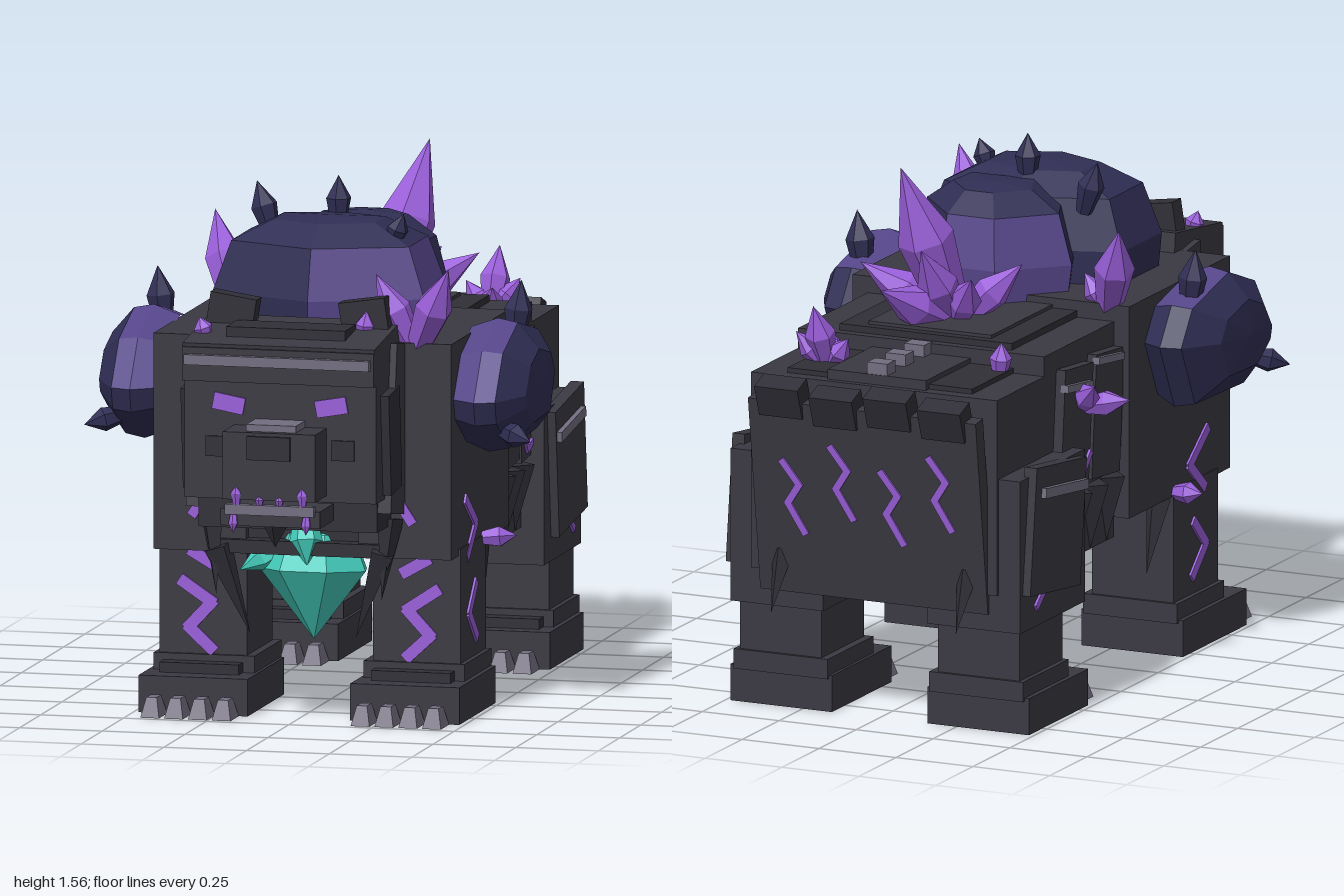
import * as THREE from 'three';

const mat = (name, color) => Object.assign(new THREE.MeshStandardMaterial({ color }), { name });

export function createModel() {
  const root = new THREE.Group();
  root.name = 'crystalBeast';
  const stone = mat('darkStone', 0x3a3942), shade = mat('deepStone', 0x302f37), grey = mat('greyStone', 0x736e80);
  const purple = mat('purpleCrystal', 0x9a5fda), navy = mat('navyRock', 0x302e54), violet = mat('violetRock', 0x56468a);
  const teal = mat('tealCrystal', 0x45d0bf);
  const sides = [1, -1], Q = Math.PI / 2;

  const add = (name, geo, m, pos = [0, 0, 0], rot = [0, 0, 0], parent = root) => {
    const mesh = new THREE.Mesh(geo, m);
    mesh.name = name;
    mesh.position.set(...pos);
    mesh.rotation.set(...rot);
    parent.add(mesh);
    return mesh;
  };
  const box = (name, m, size, pos, rot, parent) => add(name, new THREE.BoxGeometry(...size), m, pos, rot, parent);
  // Box given by its min and max corners
  const span = (name, m, a, b) => box(name, m, a.map((v, i) => b[i] - v), a.map((v, i) => (v + b[i]) / 2));
  // Same box on both sides
  const pair = (name, m, size, [x, y, z], [rx, ry, rz] = [0, 0, 0]) =>
    sides.forEach(s => box(name, m, size, [s * x, y, z], [rx, s * ry, s * rz]));
  const spanPair = (name, m, a, b) => pair(name, m, a.map((v, i) => b[i] - v), a.map((v, i) => (v + b[i]) / 2));

  // Faceted lathe shape running from base to tip
  const facet = (name, m, base, tip, profile, count) => {
    const d = new THREE.Vector3(...tip).sub(new THREE.Vector3(...base)), len = d.length();
    const geo = new THREE.LatheGeometry(profile.map(([r, t]) => new THREE.Vector2(r, t * len)), count).toNonIndexed();
    geo.computeVertexNormals();
    add(name, geo, m, base).quaternion.setFromUnitVectors(new THREE.Vector3(0, 1, 0), d.normalize());
  };
  const crystal = (name, m, base, tip, r) => facet(name, m, base, tip, [[0, 0], [r * 0.6, 0.02], [r, 0.55], [0, 1]], 6);
  const spike = (name, m, base, tip, r) => facet(name, m, base, tip, [[0, 0], [r, 0.001], [0, 1]], 4);
  // Crystals fanning out of one root, longer ones thicker
  const cluster = (name, m, base, ...tips) => tips.forEach(tip =>
    crystal(name, m, base, tip, 0.02 + 0.12 * Math.hypot(...tip.map((v, i) => v - base[i]))));

  // Faceted rock: stacked [height, scale] copies of an outline, faces coloured by isViolet(level, side)
  const rock = (name, outline, levels, place, flip, isViolet) => {
    const n = outline.length, pos = [], geo = new THREE.BufferGeometry();
    const [cu, cv] = [0, 1].map(k => outline.reduce((sum, p) => sum + p[k], 0) / n);
    const at = (l, i) => {
      const [h, k] = levels[l], [u, v] = outline[i % n];
      return place(cu + (u - cu) * k, h, cv + (v - cv) * k);
    };
    const tri = (a, b, c, group) => {
      geo.addGroup(pos.length / 3, 3, group);
      pos.push(...a, ...(flip ? c : b), ...(flip ? b : c));
    };
    const top = levels.length - 1, peak = place(cu, levels[top][0] + 0.01, cv);
    for (let i = 0; i < n; i++) {
      for (let l = 0; l < top; l++) {
        const group = isViolet(l, i) ? 1 : 0;
        tri(at(l, i), at(l + 1, i), at(l, i + 1), group);
        tri(at(l + 1, i), at(l + 1, i + 1), at(l, i + 1), group);
      }
      tri(peak, at(top, i + 1), at(top, i), 0);
    }
    geo.setAttribute('position', new THREE.Float32BufferAttribute(pos, 3));
    geo.computeVertexNormals();
    add(name, geo, [navy, violet]);
  };

  // Thin zigzag rune drawn in the local xy plane of a turned group
  const rune = (pts, pos, rot, w) => {
    const g = new THREE.Group();
    g.name = 'rune';
    g.position.set(...pos);
    g.rotation.set(...rot);
    root.add(g);
    for (let i = 1; i < pts.length; i++) {
      const [x0, y0] = pts[i - 1], [x1, y1] = pts[i];
      box('runeStroke', purple, [Math.hypot(x1 - x0, y1 - y0) + w * 0.6, w, 0.008],
        [(x0 + x1) / 2, (y0 + y1) / 2, 0], [0, 0, Math.atan2(y1 - y0, x1 - x0)], g);
    }
  };
  // Runes on both sides: points are (z, y) on flanks, (x, y) on the front
  const sideRune = (pts, [x, y, z], w) => sides.forEach(s => rune(pts.map(p => [-s * p[0], p[1]]), [s * x, y, z], [0, s * Q, 0], w));
  const frontRune = (pts, [x, y, z], w) => sides.forEach(s => rune(pts.map(p => [s * p[0], p[1]]), [s * x, y, z], [0, 0, 0], w));

  // Torso
  span('chest', stone, [-0.45, 0.48, -0.09], [0.45, 1.12, 0.53]);
  spanPair('shoulder', stone, [0.17, 0.48, 0.5], [0.45, 1.12, 0.59]);
  span('chestPlate', shade, [-0.17, 0.5, 0.53], [0.17, 0.72, 0.56]);
  span('waist', stone, [-0.4, 0.42, -0.56], [0.4, 1.07, -0.09]);
  span('rump', stone, [-0.4, 0.42, -0.88], [0.4, 1.01, -0.54]);
  span('backPanel', shade, [-0.28, 1.05, -0.53], [0.28, 1.09, -0.09]);
  span('backRidge', stone, [-0.2, 1.06, -0.5], [0.2, 1.1, -0.09]);
  span('rumpPanel', shade, [-0.3, 1, -0.84], [0.3, 1.025, -0.55]);
  span('rumpRidge', stone, [-0.16, 1, -0.86], [0.16, 1.04, -0.55]);
  for (let i = 0; i < 3; i++) box('spineStud', grey, [0.065, 0.05, 0.055], [0, 1.05, -0.83 + i * 0.125]);

  // Tilted rear plate with rim blocks and runes
  box('rearPlate', stone, [0.74, 0.6, 0.05], [0, 0.66, -0.895], [-0.14, 0, 0]);
  for (let i = 0; i < 4; i++) {
    const x = -0.24 + i * 0.16, low = i % 2;
    box('rearRimBlock', shade, [0.14, 0.1, 0.07], [x * 1.1, 0.95 + low * 0.015, -0.945], [-0.35, 0, 0]);
    rune([[-0.03, 0.13], [0.02, 0.06], [-0.02, 0], [0.03, -0.09]], [x, 0.7 - low * 0.06, -0.927 + low * 0.008], [-0.14, Math.PI, 0, 'YXZ'].map((v, k) => (k === 0 ? 0.14 : v)), 0.022);
  }

  // Flank plates
  [-0.19, -0.4].forEach(z => {
    pair('ribPlate', stone, [0.04, 0.37, 0.19], [0.41, 0.82, z], [0.09, 0, 0]);
    pair('ribTrim', grey, [0.025, 0.022, 0.17], [0.43, 1.02 + z * 0.18, z], [0.12, 0, 0]);
  });
  sideRune([[0.06, 0.04], [0.04, 0.02], [0, -0.03], [-0.06, -0.01]], [0.434, 0.69, -0.38], 0.02);

  // Legs, feet and claws
  [['front', 0.2, 0.5, 0.63], ['rear', -0.84, -0.55, -0.44]].forEach(([n, back, front, toe]) => {
    spanPair(n + 'Leg', stone, [0.19, 0.1, back], [0.455, 0.5, front]);
    spanPair(n + 'Ankle', stone, [0.165, 0.1, back - 0.01], [0.47, 0.16, front + 0.01]);
    spanPair(n + 'Instep', shade, [0.2, 0.1, front], [0.44, 0.14, front + 0.06]);
    spanPair(n + 'Foot', stone, [0.155, 0, back], [0.485, 0.11, toe]);
    for (let i = 0; i < 4; i++) sides.forEach(s => {
      const claw = new THREE.CylinderGeometry(0.022, 0.04, 0.058, 4).toNonIndexed().rotateY(Q / 2).scale(1, 1, 1.75);
      claw.computeVertexNormals();
      add('claw', claw, grey, [s * (0.21 + i * 0.072), 0.029, toe + 0.05]);
    });
  });
  spanPair('thigh', stone, [0.17, 0.31, -0.87], [0.47, 0.77, -0.43]);
  pair('thighPlate', stone, [0.04, 0.38, 0.34], [0.475, 0.59, -0.66], [0.12, 0, 0]);
  pair('thighTrim', grey, [0.03, 0.03, 0.29], [0.495, 0.7, -0.63], [0.12, 0, 0]);
  frontRune([[0.06, 0.1], [-0.03, 0.04], [0.04, -0.035], [-0.03, -0.1]], [0.325, 0.275, 0.503], 0.036);
  frontRune([[-0.035, -0.02], [0.035, 0.02]], [0.32, 0.445, 0.504], 0.036);
  frontRune([[-0.02, 0.03], [0.02, -0.03]], [0.31, 0.62, 0.593], 0.03);
  sideRune([[0.06, 0.085], [-0.06, 0], [0.04, -0.085]], [0.453, 0.55, 0.37], 0.032);
  sideRune([[-0.03, 0.08], [0.05, 0], [-0.04, -0.08]], [0.458, 0.295, 0.36], 0.032);
  sideRune([[-0.025, 0.04], [0.03, 0.01], [-0.035, -0.04]], [0.474, 0.41, -0.73], 0.022);

  // Spikes on belly, elbows, collar and tail
  sides.forEach(s => {
    for (let i = 0; i < 3; i++) spike('bellySpike', shade, [s * 0.4, 0.62, -0.14 - i * 0.11], [s * 0.4, 0.42, -0.14 - i * 0.11], 0.06);
    spike('elbowSpike', shade, [s * 0.42, 0.48, 0.17], [s * 0.42, 0.27, 0.09], 0.04);
    spike('collarTusk', shade, [s * 0.25, 0.5, 0.61], [s * 0.16, 0.24, 0.58], 0.045);
    spike('collarTusk', shade, [s * 0.27, 0.6, 0.6], [s * 0.25, 0.36, 0.63], 0.04);
    spike('tailSpike', shade, [s * 0.3, 0.48, -0.87], [s * 0.3, 0.31, -0.95], 0.035);
    cluster('elbowCrystal', purple, [s * 0.44, 0.49, 0.22], [s * 0.55, 0.5, 0.2]);
  });
  span('collarBar', shade, [-0.25, 0.48, 0.54], [0.25, 0.52, 0.61]);

  // Hanging chest gem
  facet('chestGem', teal, [0.01, 0.57, 0.46], [0.01, 0.215, 0.49], [[0, 0], [0.12, 0.12], [0.165, 0.42], [0, 1]], 7);
  crystal('gemShard', teal, [0, 0.6, 0.56], [0.02, 0.45, 0.61], 0.05);
  crystal('gemShard', teal, [-0.06, 0.5, 0.5], [-0.2, 0.42, 0.55], 0.04);

  // Head
  box('neck', stone, [0.62, 0.5, 0.2], [0, 0.87, 0.62], [-0.15, 0, 0]);
  span('head', stone, [-0.29, 0.68, 0.6], [0.29, 1.1, 0.85]);
  span('throat', shade, [-0.27, 0.58, 0.6], [0.27, 0.7, 0.76]);
  box('skullCap', stone, [0.58, 0.06, 0.32], [0, 1.13, 0.71], [0.12, 0, 0]);
  span('crown', shade, [-0.18, 1.13, 0.66], [0.18, 1.18, 0.79]);
  span('brow', stone, [-0.29, 1.03, 0.84], [0.29, 1.13, 0.88]);
  span('browTrim', grey, [-0.28, 1.08, 0.87], [0.28, 1.11, 0.9]);
  pair('ear', shade, [0.14, 0.1, 0.06], [0.2, 1.2, 0.62], [0, 0, 0.15]);
  pair('cheekPlate', shade, [0.03, 0.3, 0.13], [0.3, 0.85, 0.72], [0.1, 0, 0]);
  pair('eye', purple, [0.095, 0.05, 0.008], [0.155, 0.963, 0.853], [0, 0, 0.18]);
  pair('cheekSquare', shade, [0.07, 0.06, 0.008], [0.19, 0.835, 0.853]);
  span('snout', stone, [-0.14, 0.7, 0.84], [0.14, 0.9, 0.985]);
  span('noseBridge', grey, [-0.075, 0.89, 0.84], [0.075, 0.92, 0.96]);
  span('nosePlate', shade, [-0.065, 0.82, 0.98], [0.065, 0.89, 0.995]);
  span('jaw', stone, [-0.15, 0.62, 0.8], [0.15, 0.67, 0.97]);
  span('jawTrim', grey, [-0.135, 0.655, 0.96], [0.135, 0.685, 0.985]);
  spike('chinSpike', shade, [0, 0.63, 0.91], [0, 0.55, 0.91], 0.045);
  sides.forEach(s => {
    crystal('fang', purple, [s * 0.1, 0.68, 0.975], [s * 0.1, 0.75, 0.98], 0.017);
    crystal('smallFang', purple, [s * 0.03, 0.68, 0.975], [s * 0.03, 0.72, 0.98], 0.014);
    crystal('lowerFang', purple, [s * 0.11, 0.66, 0.97], [s * 0.11, 0.6, 0.98], 0.015);
  });

  // Back shells and shoulder rocks
  const up = (x, h, z) => [x, h, z];
  rock('rearShell', [[0.3, 0.02], [0.28, 0.24], [-0.12, 0.24], [-0.22, 0], [-0.05, -0.17], [0.13, -0.17]],
    [[1.1, 0.95], [1.2, 1], [1.35, 0.84], [1.41, 0.5]], up, false, (l, i) => l < 2 && (i === 3 || i === 4));
  rock('frontShell', [[0.32, 0.13], [0.32, 0.4], [0, 0.53], [-0.32, 0.4], [-0.32, 0.13], [0, 0.02]],
    [[1.1, 0.97], [1.22, 1], [1.37, 0.84], [1.43, 0.48]], up, false, (l, i) => l < 2 && i < 2);
  const outline = [[0.6, 0.95], [0.5, 1.09], [0.31, 1.16], [0.05, 1.1], [-0.03, 0.99], [0.07, 0.79], [0.42, 0.78], [0.58, 0.88]];
  sides.forEach(s => {
    rock('shoulderRock', outline, [[0.44, 0.85], [0.52, 1], [0.58, 0.94], [0.645, 0.55]],
      (z, h, y) => [s * h, y, z], s < 0, (l, i) => l < 2 && i < 3);
    cluster('shoulderHorn', navy, [s * 0.53, 1.06, 0.15], [s * 0.55, 1.25, 0.15]);
    cluster('shoulderHorn', navy, [s * 0.56, 0.86, 0.47], [s * 0.675, 0.83, 0.53]);
  });
  cluster('shellHorn', navy, [0, 1.39, 0.16], [0, 1.54, 0.16]);
  cluster('shellHorn', navy, [-0.22, 1.34, 0.08], [-0.27, 1.5, 0.07]);
  cluster('shellHorn', navy, [0.2, 1.36, 0.32], [0.24, 1.46, 0.33]);

  // Purple crystal clusters
  cluster('backCrystal', purple, [0.02, 1.06, -0.28], [0.12, 1.56, -0.45], [0.03, 1.33, -0.5], [0.29, 1.24, -0.37],
    [-0.17, 1.25, -0.23], [0.17, 1.28, -0.18], [0.12, 1.22, -0.59], [-0.1, 1.24, -0.43]);
  cluster('rumpCrystal', purple, [0.24, 1, -0.69], [0.25, 1.2, -0.77], [0.32, 1.11, -0.74], [0.16, 1.1, -0.72], [0.27, 1.1, -0.6]);
  cluster('rumpCrystal', purple, [-0.27, 1, -0.59], [-0.28, 1.11, -0.6]);
  cluster('rightShoulderCrystal', purple, [-0.36, 1.08, -0.04], [-0.46, 1.37, -0.18], [-0.33, 1.27, 0.04], [-0.29, 1.2, -0.06]);
  cluster('leftShoulderCrystal', purple, [0.33, 1.08, 0.54], [0.455, 1.35, 0.64], [0.22, 1.32, 0.58], [0.37, 1.22, 0.47]);
  cluster('flankCrystal', purple, [-0.4, 0.87, -0.33], [-0.56, 0.9, -0.31], [-0.5, 0.96, -0.43]);
  cluster('headCrystal', purple, [-0.25, 1.13, 0.74], [-0.27, 1.2, 0.75]);
  cluster('headCrystal', purple, [0.2, 1.13, 0.64], [0.21, 1.22, 0.65]);

  return root;
}
